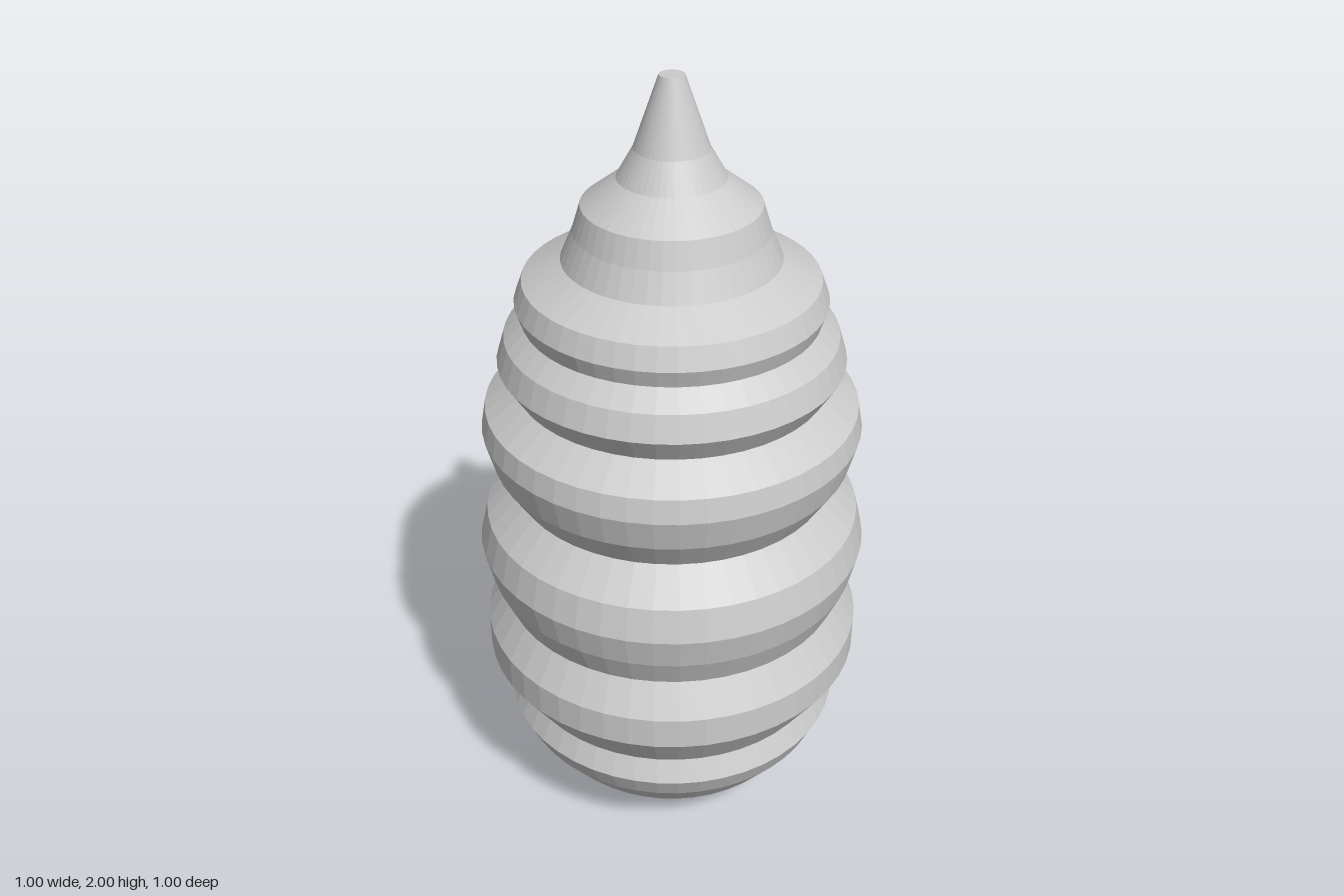
import * as THREE from 'three';

const SIDES = 48;
const STEP = (Math.PI * 2) / SIDES;

// Profiles as [radius, height], bottom to top
const LOWER = [[0, 0], [0.12, 0], [0.22, 0.07], [0.35, 0.125], [0.415, 0.21], [0.445, 0.275],
  [0.42, 0.335], [0.495, 0.45], [0.495, 0.535], [0.445, 0.62]];
const BAND = [[0.445, 0.62], [0.48, 0.7], [0.5, 0.785], [0.48, 0.87], [0.405, 0.95]];
const UPPER = [[0.405, 0.95], [0.455, 1.03], [0.478, 1.115], [0.467, 1.175], [0.39, 1.235],
  [0.43, 1.3], [0.41, 1.365], [0.365, 1.41], [0.38, 1.455], [0.36, 1.51], [0.265, 1.56],
  [0.235, 1.63], [0.215, 1.695], [0.13, 1.76], [0.09, 1.83], [0.03, 2], [0, 2]];

// Entrance hole, bored into the back
const HOLE = { y: 0.785, r: 0.13, floor: -0.24, segs: 32 };

function bandRadius(y) {
  for (let i = 1; i < BAND.length; i++) {
    const [r0, y0] = BAND[i - 1], [r1, y1] = BAND[i];
    if (y <= y1) return r0 + ((r1 - r0) * (y - y0)) / (y1 - y0);
  }
  return BAND[BAND.length - 1][0];
}

// Point on the faceted band; angle 0 is the back, growing towards +x
function bandPoint(angle, y) {
  const rel = angle - (Math.floor(angle / STEP) + 0.5) * STEP;
  const r = (bandRadius(y) * Math.cos(STEP / 2)) / Math.cos(rel);
  return [r * Math.sin(angle), y, -r * Math.cos(angle)];
}

// Angle and height of the hole's rim at turn t
function rim(t) {
  const y = HOLE.y + HOLE.r * Math.sin(t);
  return { angle: Math.asin((HOLE.r * Math.cos(t)) / bandRadius(y)), y };
}

// Surface through columns of points, all columns the same length
function sheet(columns) {
  const n = columns[0].length, index = [];
  for (let i = 0; i < columns.length - 1; i++) {
    for (let j = 0; j < n - 1; j++) {
      const a = i * n + j, b = a + n;
      index.push(a, a + 1, b + 1, a, b + 1, b);
    }
  }
  const geo = new THREE.BufferGeometry();
  geo.setAttribute('position', new THREE.Float32BufferAttribute(columns.flat(2), 3));
  geo.setIndex(index);
  geo.computeVertexNormals();
  return geo;
}

// Half of the band, above (+1) or below (-1) the middle of the hole
function halfBand(sign) {
  const edges = [];
  for (let i = 0; i <= HOLE.segs / 2; i++) {
    edges.push(rim(sign * Math.PI * (1 - (2 * i) / HOLE.segs)));
  }
  for (let k = 3; k <= SIDES - 3; k++) edges.push({ angle: k * STEP, y: HOLE.y });
  const first = rim(Math.PI);
  edges.push({ angle: first.angle + Math.PI * 2, y: first.y });
  const clamp = sign > 0 ? Math.max : Math.min;
  return sheet(edges.map((e) => BAND.map(([, y]) => bandPoint(e.angle, clamp(y, e.y)))));
}

export function createModel() {
  const group = new THREE.Group();
  const mat = new THREE.MeshStandardMaterial({ color: 0xcccccc, flatShading: true });
  const inner = mat.clone();
  inner.side = THREE.DoubleSide;

  const add = (name, geo, material = mat) => {
    const mesh = new THREE.Mesh(geo, material);
    mesh.name = name;
    group.add(mesh);
    return mesh;
  };
  const lathe = (pts) => new THREE.LatheGeometry(pts.map(([r, y]) => new THREE.Vector2(r, y)), SIDES);

  // Rounded rolls with the pointed top
  add('lowerRolls', lathe(LOWER));
  add('upperRollsAndTip', lathe(UPPER));

  // Middle roll with the entrance hole cut out
  add('middleRollBottom', halfBand(-1));
  add('middleRollTop', halfBand(1));

  // Tunnel walls and end
  const walls = [];
  for (let i = 0; i <= HOLE.segs; i++) {
    const t = (i / HOLE.segs) * Math.PI * 2;
    const { angle, y } = rim(t);
    const p = bandPoint(angle, y);
    walls.push([p, [p[0], y, HOLE.floor]]);
  }
  add('entranceTunnel', sheet(walls), inner);
  const end = add('entranceEnd', new THREE.CircleGeometry(HOLE.r, HOLE.segs), inner);
  end.position.set(0, HOLE.y, HOLE.floor);
  end.rotation.y = Math.PI;

  return group;
}
